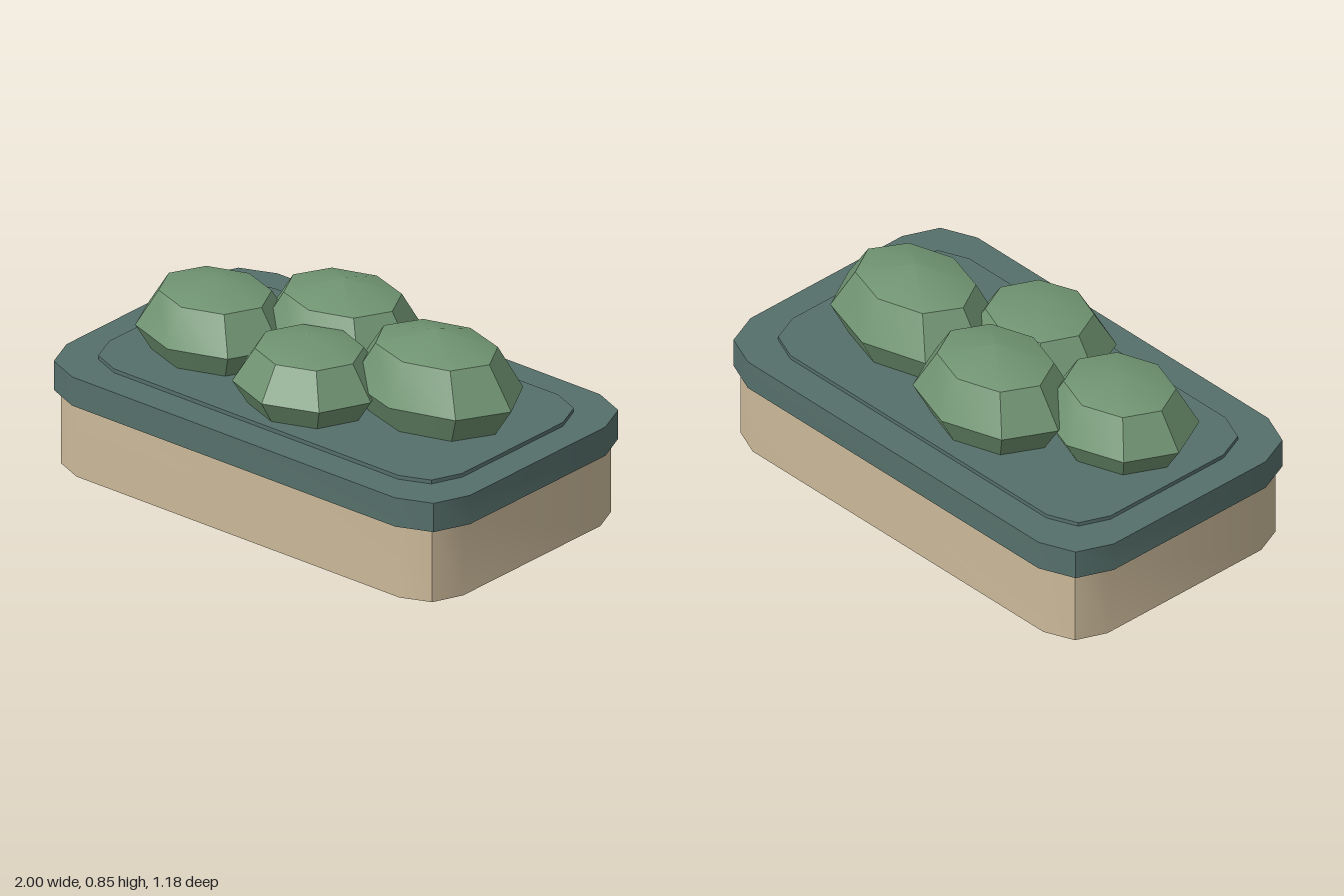
import * as THREE from 'three';
import { toCreasedNormals } from 'three/addons/utils/BufferGeometryUtils.js';

const CREASE = THREE.MathUtils.degToRad(35);

const mat = (name, color) => {
  const m = new THREE.MeshStandardMaterial({ color });
  m.name = name;
  return m;
};

// Horizontal slab with two-segment rounded corners, from y0 to y1
function slab(name, halfX, halfZ, radius, y0, y1, material) {
  const x = halfX - radius, z = halfZ - radius;
  const points = [];
  [[x, z], [-x, z], [-x, -z], [x, -z]].forEach(([cx, cz], corner) => {
    for (let i = 0; i <= 2; i++) {
      const a = (corner + i / 2) * Math.PI / 2;
      points.push(new THREE.Vector2(cx + radius * Math.cos(a), cz + radius * Math.sin(a)));
    }
  });
  const geo = new THREE.ExtrudeGeometry(new THREE.Shape(points), { depth: y1 - y0, bevelEnabled: false });
  geo.rotateX(-Math.PI / 2).translate(0, y0, 0);
  const mesh = new THREE.Mesh(toCreasedNormals(geo, CREASE), material);
  mesh.name = name;
  return mesh;
}

// Squashed eight-sided ball, partly sunk into the planter
function bush(name, [x, y, z], [rx, ry, rz], material) {
  const geo = new THREE.SphereGeometry(1, 8, 4).scale(rx, ry, rz);
  const mesh = new THREE.Mesh(toCreasedNormals(geo, CREASE), material);
  mesh.position.set(x, y, z);
  mesh.name = name;
  return mesh;
}

export function createModel() {
  const teal = mat('darkTeal', 0x56706b);
  const tan = mat('sandStone', 0xcbb99a);
  const green = mat('leafGreen', 0x6f9371);
  const model = new THREE.Group();
  model.name = 'planter';

  // Planter box, bottom to top
  model.add(
    slab('foot', 0.88, 0.47, 0.15, 0, 0.055, teal),
    slab('body', 0.97, 0.565, 0.17, 0.055, 0.36, tan),
    slab('rim', 1, 0.59, 0.2, 0.36, 0.48, teal),
    slab('topPlate', 0.875, 0.46, 0.17, 0.48, 0.496, teal),
  );

  // Clump of bushes
  model.add(
    bush('leftBush', [0.46, 0.615, -0.045], [0.37, 0.23, 0.275], green),
    bush('backBush', [-0.113, 0.613, -0.17], [0.347, 0.22, 0.278], green),
    bush('rightBush', [-0.53, 0.595, 0.08], [0.325, 0.205, 0.275], green),
    bush('frontBush', [0.04, 0.59, 0.2], [0.305, 0.19, 0.275], green),
  );
  return model;
}
